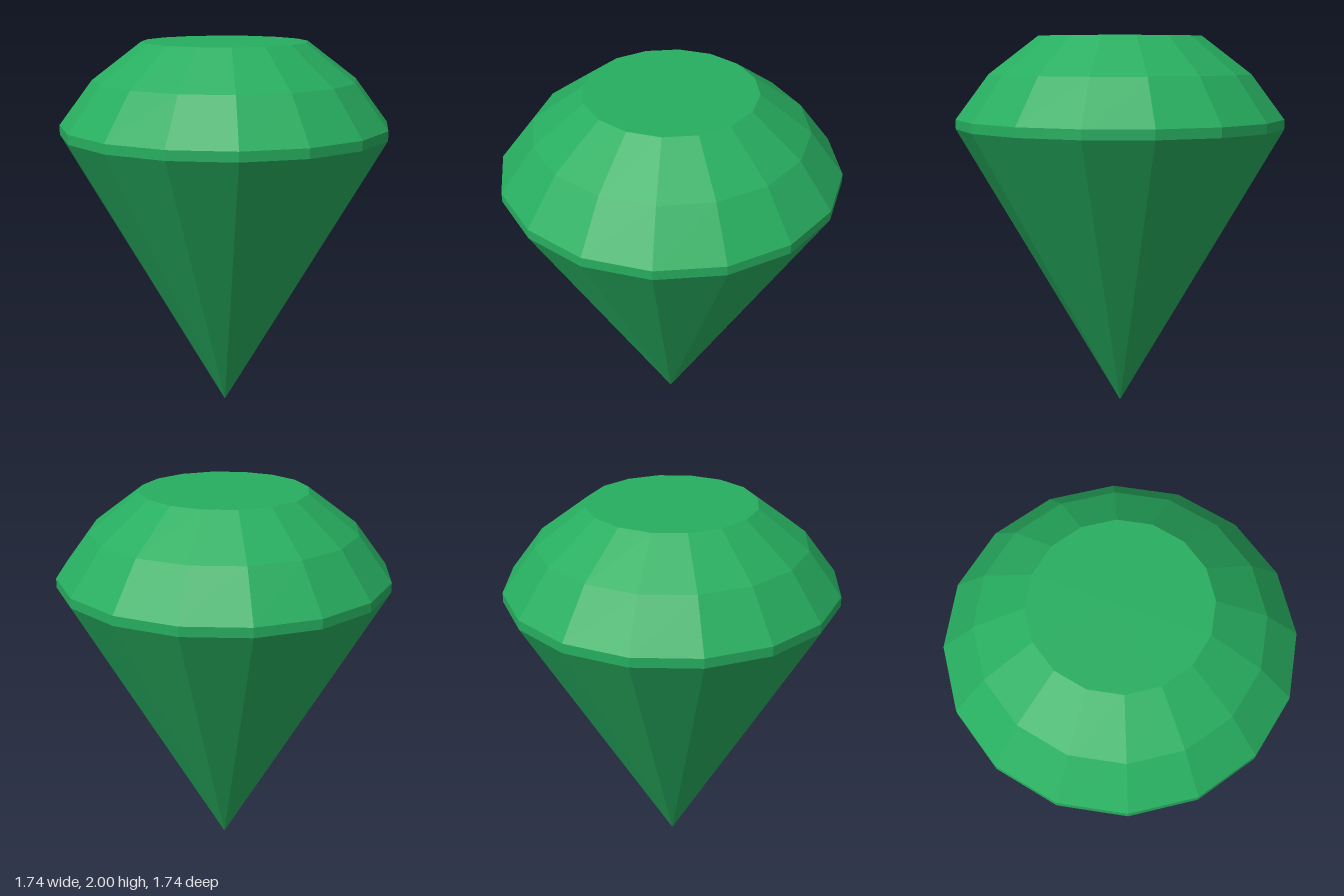
import * as THREE from 'three';

const SIDES = 16;

export function createModel() {
  const gem = new THREE.Group();
  gem.name = 'cutGem';
  const material = new THREE.MeshStandardMaterial({ color: 0x27ae60, flatShading: true });

  // One faceted ring between two heights
  function facetRing(name, y0, r0, y1, r1) {
    const geometry = new THREE.CylinderGeometry(r1, r0, y1 - y0, SIDES, 1, true);
    const mesh = new THREE.Mesh(geometry, material);
    mesh.name = name;
    mesh.position.y = (y0 + y1) / 2;
    gem.add(mesh);
  }

  // Pointed base, narrow belt and the two sloping crown bands
  facetRing('pavilion', 0, 0, 1.52, 0.87);
  facetRing('girdle', 1.52, 0.87, 1.57, 0.87);
  facetRing('lowerCrown', 1.57, 0.87, 1.803, 0.695);
  facetRing('upperCrown', 1.803, 0.695, 2, 0.435);

  // Flat top facet
  const table = new THREE.Mesh(new THREE.CircleGeometry(0.435, SIDES), material);
  table.name = 'table';
  table.rotation.x = -Math.PI / 2;
  table.position.y = 2;
  gem.add(table);

  return gem;
}
